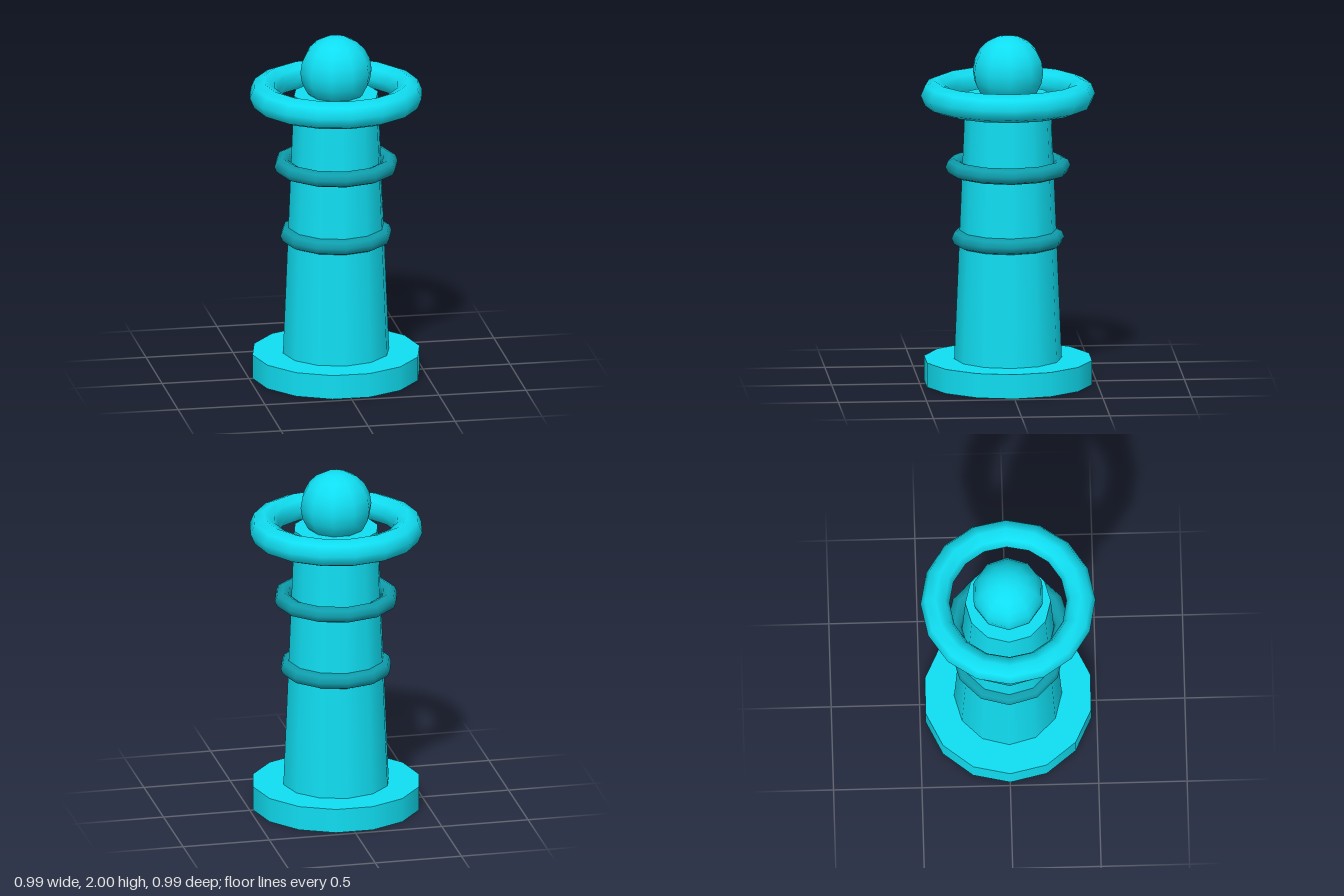
import * as THREE from 'three';

export function createModel() {
  const model = new THREE.Group();
  model.name = 'ringedTower';

  const bright = new THREE.MeshStandardMaterial({ color: 0x10def2 });
  const dark = new THREE.MeshStandardMaterial({ color: 0x0f9fae });

  function add(name, geometry, y, material = bright) {
    const mesh = new THREE.Mesh(geometry, material);
    mesh.name = name;
    mesh.position.y = y;
    model.add(mesh);
    return mesh;
  }

  // Horizontal ring with an eight-sided tube
  function addRing(name, radius, tube, segments, y, material) {
    const geometry = new THREE.TorusGeometry(radius, tube, 8, segments);
    geometry.rotateX(-Math.PI / 2);
    return add(name, geometry, y, material);
  }

  // Base disc, a corner pointing along x
  add('base', new THREE.CylinderGeometry(0.48, 0.48, 0.14, 14).rotateY(Math.PI / 2), 0.07);

  // Tapered column
  add('column', new THREE.CylinderGeometry(0.242, 0.305, 1.52, 12), 0.9);

  // Two darker bands around the column
  addRing('lowerBand', 0.273, 0.047, 12, 0.835, dark);
  addRing('upperBand', 0.308, 0.047, 12, 1.247, dark);

  // Wide ring floating around the column top
  addRing('crownRing', 0.413, 0.082, 16, 1.66, bright);

  // Ball finial
  add('ball', new THREE.SphereGeometry(0.205, 10, 10), 1.795);

  return model;
}
